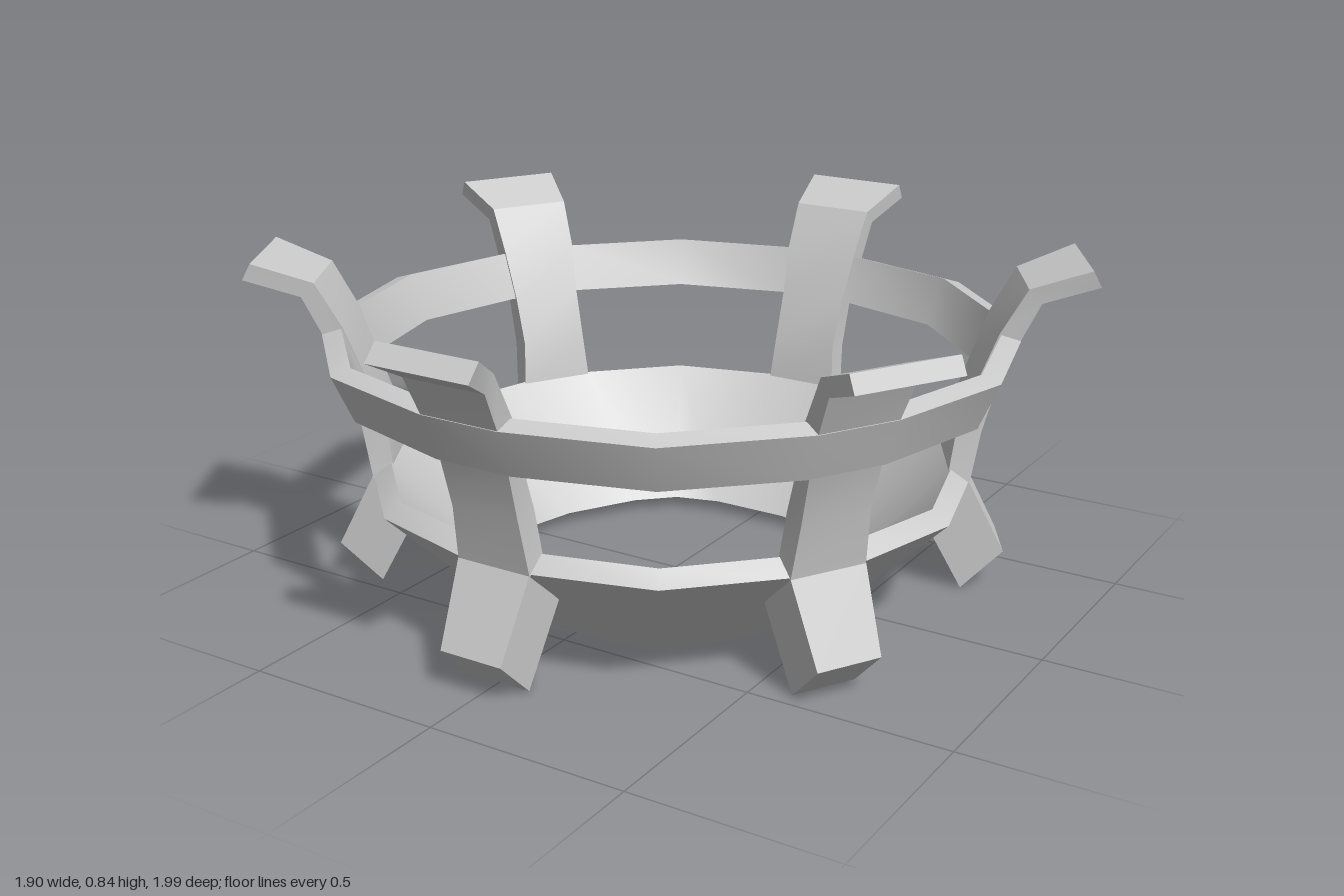
import * as THREE from 'three';
import { toCreasedNormals } from 'three/addons/utils/BufferGeometryUtils.js';

// Skin a list of four-cornered cross-sections, either capped or closed into a loop
function loft(sections, loop) {
  const n = sections.length, index = [];
  for (let s = 0; s < (loop ? n : n - 1); s++) {
    const a = s * 4, b = ((s + 1) % n) * 4;
    for (let j = 0; j < 4; j++) {
      const k = (j + 1) % 4;
      index.push(a + j, a + k, b + k, a + j, b + k, b + j);
    }
  }
  if (!loop) {
    const t = (n - 1) * 4;
    index.push(0, 2, 1, 0, 3, 2, t, t + 1, t + 2, t, t + 2, t + 3);
  }
  const geo = new THREE.BufferGeometry();
  geo.setAttribute('position', new THREE.Float32BufferAttribute(sections.flat(2), 3));
  geo.setIndex(index);
  return toCreasedNormals(geo, 0.55);
}

// Eighteen-sided ring: a short flat at each leg and one corner between legs.
// Profile rows: [radius at the flats, radius at the corners, height]
function ring(profile) {
  const sections = [];
  const halfFlat = 0.1;
  for (let i = 0; i < 6; i++) {
    const t = i * Math.PI / 3;
    const at = (x, z, y) => [
      x * Math.cos(t) + z * Math.sin(t), y, z * Math.cos(t) - x * Math.sin(t)];
    sections.push(profile.map(([r, , y]) => at(-halfFlat, r, y)));
    sections.push(profile.map(([r, , y]) => at(halfFlat, r, y)));
    sections.push(profile.map(([, m, y]) => at(m * 0.5, m * Math.sqrt(0.75), y)));
  }
  return loft(sections, true);
}

// Bar in the radial plane; rows: [outer r, outer y, inner r, inner y, half width]
function bar(rows) {
  return loft(rows.map(([ro, yo, ri, yi, w]) =>
    [[-w, yo, ro], [w, yo, ro], [w, yi, ri], [-w, yi, ri]]), false);
}

export function createModel() {
  const model = new THREE.Group();
  model.name = 'basketGrate';
  const material = new THREE.MeshStandardMaterial({ color: 0xcccccc });
  const add = (parent, name, geo) => {
    const mesh = new THREE.Mesh(geo, material);
    mesh.name = name;
    parent.add(mesh);
  };

  // Open conical bowl
  add(model, 'bowl', ring([
    [0.735, 0.76, 0.29], [0.445, 0.475, 0.01], [0.405, 0.43, 0.03], [0.69, 0.717, 0.323]]));

  // Upper hoop
  add(model, 'hoop', ring([
    [0.843, 0.868, 0.655], [0.797, 0.817, 0.54], [0.75, 0.773, 0.55], [0.795, 0.82, 0.67]]));

  // Six legs, each with a slanted foot and a flared upper tip
  for (let i = 0; i < 6; i++) {
    const leg = new THREE.Group();
    leg.name = 'leg' + (i + 1);
    leg.rotation.y = i * Math.PI / 3;
    const tip = i === 0 ? 0.972 : 1.018;
    const tipInner = i === 0 ? 0.935 : 0.997;
    add(leg, 'upright', bar([
      [0.738, 0.285, 0.685, 0.31, 0.098],
      [0.762, 0.42, 0.702, 0.43, 0.089],
      [0.794, 0.54, 0.745, 0.55, 0.092],
      [0.841, 0.655, 0.79, 0.672, 0.102],
      [0.886, 0.75, 0.853, 0.785, 0.108],
      [tip, 0.798, tipInner, 0.838, 0.135],
    ]));
    add(leg, 'foot', bar([
      [0.833, 0.1, 0.731, 0, 0.083],
      [0.739, 0.287, 0.63, 0.19, 0.098],
    ]));
    model.add(leg);
  }

  // The longer back tip shifts the rings slightly forward
  model.children.forEach((part) => { part.position.z = 0.022; });
  return model;
}
